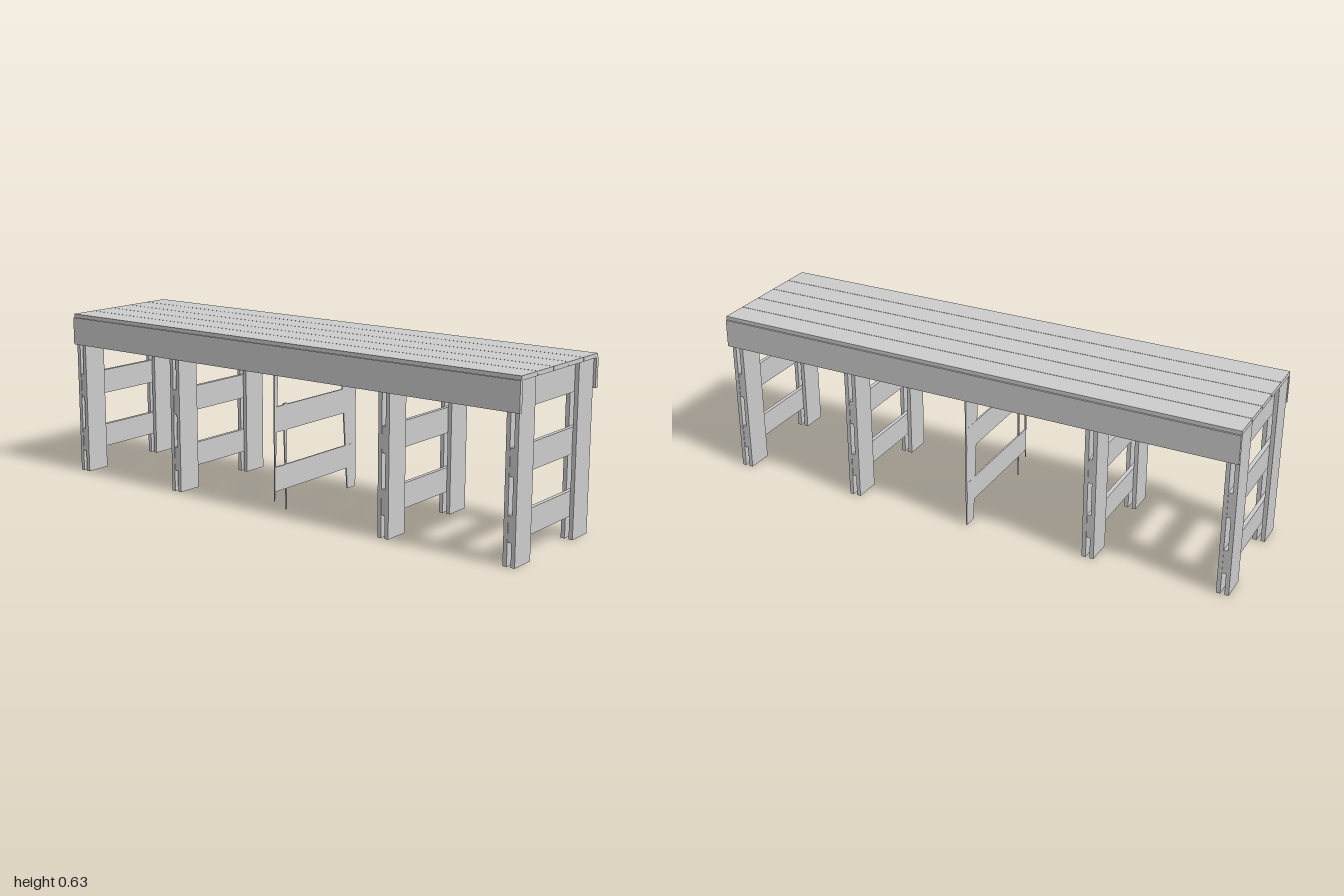
import * as THREE from 'three';

const material = new THREE.MeshStandardMaterial({ color: 0xcccccc, flatShading: true, side: THREE.DoubleSide });

// Board given by its limits on each axis
function board(name, [x0, x1], [y0, y1], [z0, z1]) {
  const mesh = new THREE.Mesh(new THREE.BoxGeometry(x1 - x0, y1 - y0, z1 - z0), material);
  mesh.position.set((x0 + x1) / 2, (y0 + y1) / 2, (z0 + z1) / 2);
  mesh.name = name;
  return mesh;
}

// Thin plate across the bench, outlined by [z, y] points
function plate(name, points, thickness) {
  const shape = new THREE.Shape(points.map(([z, y]) => new THREE.Vector2(-z, y)));
  const geometry = new THREE.ExtrudeGeometry(shape, { depth: thickness, bevelEnabled: false });
  geometry.translate(0, 0, -thickness / 2);
  geometry.rotateY(Math.PI / 2);
  const mesh = new THREE.Mesh(geometry, material);
  mesh.name = name;
  return mesh;
}

const rails = [[0.085, 0.175], [0.302, 0.395], [0.515, 0.615]];

// Trestle: paired leg boards with the cross rails sandwiched between them
function trestle(x) {
  const group = new THREE.Group();
  group.name = 'trestle';
  for (const side of [-1, 1]) {
    const dx = side * 0.015;
    group.add(board('frontLeg', [dx - 0.0075, dx + 0.0075], [0.004, 0.617], [0.143, 0.24]));
    group.add(board('backLeg', [dx - 0.0075, dx + 0.0075], [0.004, 0.617], [-0.24, -0.14]));
  }
  for (const y of rails) group.add(board('crossRail', [-0.0075, 0.0075], y, [-0.238, 0.238]));
  group.position.x = x;
  return group;
}

// Middle support: thin rails with worn, tapering legs
function middleSupport() {
  const group = new THREE.Group();
  group.name = 'middleSupport';
  for (const y of rails) group.add(board('thinRail', [-0.003, 0.003], y, [-0.238, 0.238]));
  group.add(plate('backLegRemnant', [[-0.14, 0.617], [-0.24, 0.617], [-0.24, 0.004], [-0.19, 0.004]], 0.005));
  group.add(plate('frontLegSplinter', [[0.24, 0.617], [0.215, 0.617], [0.24, 0.05]], 0.005));
  group.add(plate('frontLegSplinter', [[0.19, 0.4], [0.17, 0.4], [0.175, 0.004]], 0.005));
  return group;
}

export function createModel() {
  const bench = new THREE.Group();
  bench.name = 'bench';

  // Five seat planks with narrow gaps
  for (let i = 0; i < 5; i++) {
    const z = -0.25 + i * 0.1;
    bench.add(board('seatPlank', [-1, 1], [0.617, 0.632], [z + 0.001, z + 0.099]));
  }

  // Long aprons
  bench.add(board('frontApron', [-1, 1], [0.513, 0.618], [0.241, 0.255]));
  bench.add(board('backApron', [-1, 1], [0.513, 0.618], [-0.255, -0.241]));

  for (const x of [-0.976, -0.48, 0.475, 0.968]) bench.add(trestle(x));
  bench.add(middleSupport());
  return bench;
}
